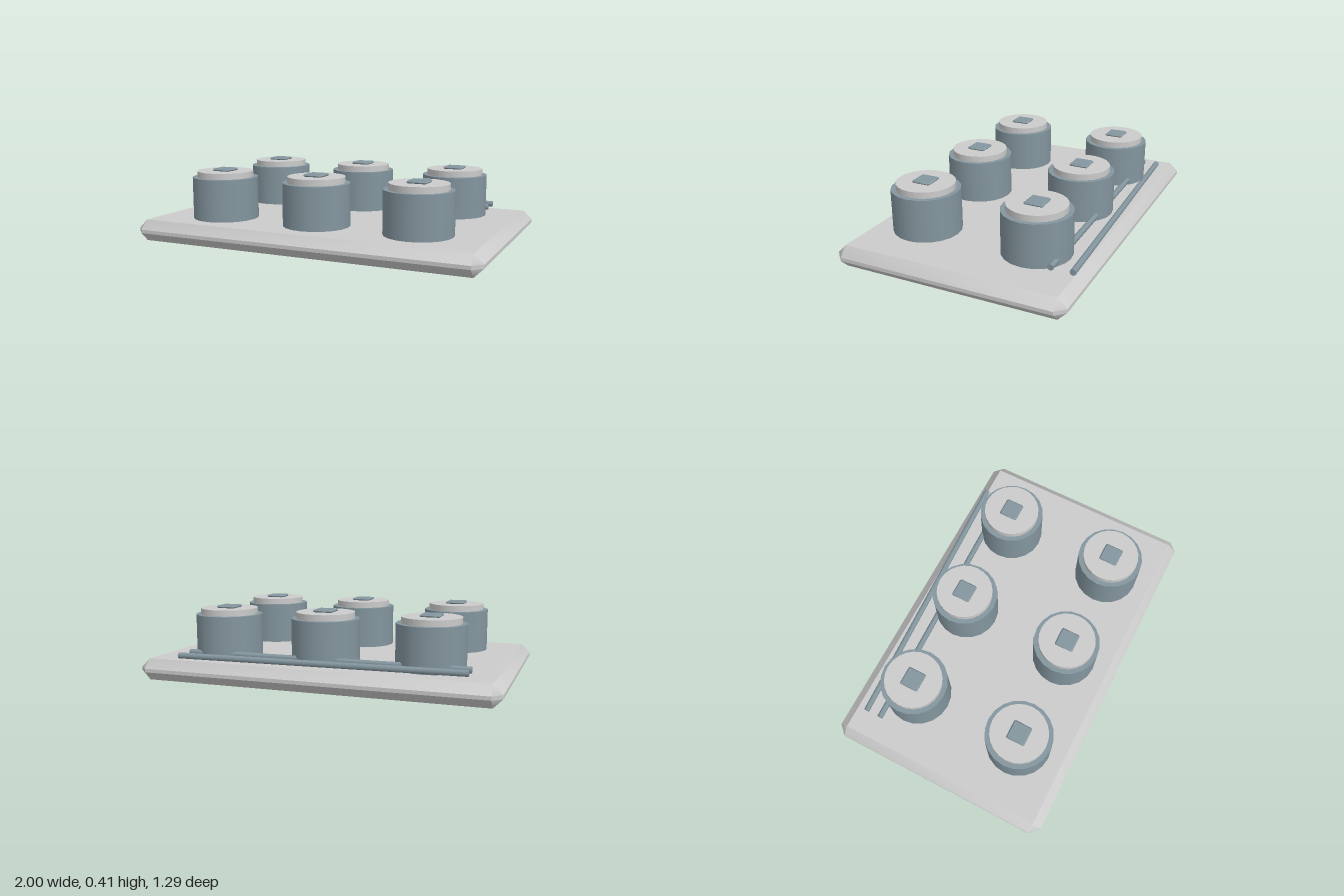
import * as THREE from 'three';
import { toCreasedNormals } from 'three/addons/utils/BufferGeometryUtils.js';
import { ConvexGeometry } from 'three/addons/geometries/ConvexGeometry.js';

const grey = new THREE.MeshStandardMaterial({ color: 0xcccccc });
const slate = new THREE.MeshStandardMaterial({ color: 0x84969f });

// Box with every edge chamfered by b
function chamferedBox(w, h, d, b) {
  const points = [];
  for (const x of [-w / 2, w / 2])
    for (const y of [-h / 2, h / 2])
      for (const z of [-d / 2, d / 2])
        for (let axis = 0; axis < 3; axis++) {
          const p = new THREE.Vector3(x, y, z);
          for (let i = 0; i < 3; i++) {
            if (i !== axis) p.setComponent(i, p.getComponent(i) - Math.sign(p.getComponent(i)) * b);
          }
          points.push(p);
        }
  return toCreasedNormals(new ConvexGeometry(points), 0.7);
}

function addMesh(parent, name, geometry, material, x, y, z) {
  const mesh = new THREE.Mesh(geometry, material);
  mesh.name = name;
  mesh.position.set(x, y, z);
  parent.add(mesh);
  return mesh;
}

export function createModel() {
  const model = new THREE.Group();
  model.name = 'trayWithPots';

  // Base plate
  addMesh(model, 'basePlate', chamferedBox(2, 0.12, 1.29, 0.05), grey, 0, 0.06, 0);

  // Six round pots, each with a lid and a small square button
  const bodyGeo = new THREE.CylinderGeometry(0.187, 0.187, 0.237, 20);
  const lidGeo = new THREE.CylinderGeometry(0.16, 0.16, 0.034, 24);
  const buttonGeo = chamferedBox(0.108, 0.016, 0.108, 0.007);
  for (const z of [-0.325, 0.325]) {
    for (const x of [-0.588, 0, 0.588]) {
      const pot = new THREE.Group();
      pot.name = 'pot';
      pot.position.set(x, 0, z);
      addMesh(pot, 'potBody', bodyGeo, slate, 0, 0.2385, 0);
      addMesh(pot, 'potLid', lidGeo, grey, 0, 0.374, 0);
      addMesh(pot, 'lidButton', buttonGeo, slate, 0, 0.397, 0);
      model.add(pot);
    }
  }

  // Two slightly slanted rods along the back
  const up = new THREE.Vector3(0, 1, 0);
  for (const [zRight, zLeft] of [[-0.446, -0.474], [-0.534, -0.591]]) {
    const start = new THREE.Vector3(-0.823, 0.148, zRight);
    const end = new THREE.Vector3(0.76, 0.148, zLeft);
    const span = end.clone().sub(start);
    const mid = start.clone().add(end).multiplyScalar(0.5);
    const rodGeo = new THREE.CylinderGeometry(0.017, 0.017, span.length(), 8);
    const rod = addMesh(model, 'rod', rodGeo, slate, mid.x, mid.y, mid.z);
    rod.quaternion.setFromUnitVectors(up, span.normalize());
  }

  return model;
}
